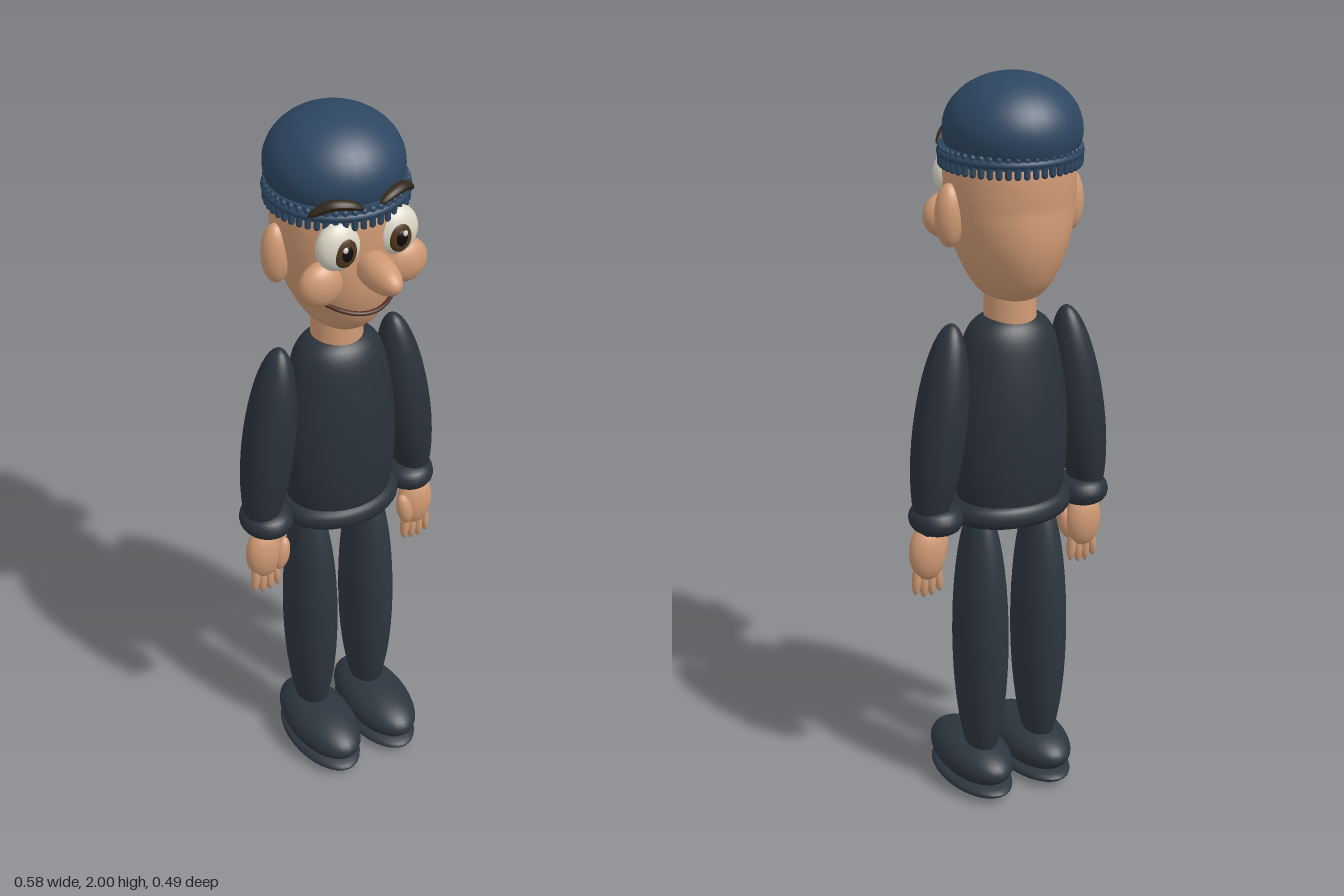
import * as THREE from 'three';
import { mergeVertices } from 'three/addons/utils/BufferGeometryUtils.js';

const mat = (name, color) => Object.assign(new THREE.MeshStandardMaterial({ color }), { name });

export function createModel() {
  const M = {
    skin: mat('skin', 0xd09a74),
    navy: mat('hat navy', 0x2d4661),
    shirt: mat('shirt charcoal', 0x2a323a),
    trousers: mat('trousers charcoal', 0x2d363f),
    brow: mat('brow brown', 0x33281c),
    white: mat('eye white', 0xdcd8c8),
    iris: mat('iris brown', 0x50361f),
    pupil: mat('pupil black', 0x0c0b0a),
    mouth: mat('mouth brown', 0x4a2618),
  };
  const model = new THREE.Group();
  model.name = 'standingMan';

  const add = (name, geo, material, pos = [0, 0, 0], scale = [1, 1, 1], rot = [0, 0, 0], parent = model) => {
    const m = new THREE.Mesh(geo, material);
    m.name = name;
    m.position.set(...pos);
    m.scale.set(...scale);
    m.rotation.set(...rot);
    parent.add(m);
    return m;
  };
  const ball = new THREE.SphereGeometry(1, 32, 24);
  const smallBall = new THREE.SphereGeometry(1, 18, 12);
  const blob = (name, material, pos, radii, rot, geo = ball) => add(name, geo, material, pos, radii, rot);

  // Smooth body of revolution whose depth varies with height
  const turned = (profile, depth) => {
    const curve = new THREE.SplineCurve(profile.map(([r, y]) => new THREE.Vector2(r, y)));
    const pts = curve.getPoints(40).map(p => new THREE.Vector2(Math.max(p.x, 0), p.y));
    let g = new THREE.LatheGeometry(pts, 40);
    const p = g.attributes.position;
    for (let i = 0; i < p.count; i++) p.setZ(i, p.getZ(i) * depth(p.getY(i)));
    g.deleteAttribute('uv');
    g.deleteAttribute('normal');
    g = mergeVertices(g, 1e-5);
    g.computeVertexNormals();
    return g;
  };
  // Horizontal padded ring
  const ring = (radius, tube, sides = 40) =>
    new THREE.TorusGeometry(radius, tube, 16, sides).rotateX(Math.PI / 2);

  const Z = -0.053; // depth of the body axis

  // Head and neck
  const headDepth = y => 1.03 + 0.3 * THREE.MathUtils.clamp((1.68 - y) / 0.18, 0, 1.15);
  add('head', turned([[0, 1.417], [0.06, 1.43], [0.09, 1.46], [0.113, 1.5], [0.135, 1.55], [0.151, 1.6],
    [0.163, 1.66], [0.168, 1.72], [0.16, 1.8], [0.1, 1.89], [0, 1.92]], headDepth), M.skin, [0, 0, -0.05]);
  add('neck', new THREE.CylinderGeometry(0.066, 0.07, 0.15, 32), M.skin, [0, 1.415, Z]);
  blob('nose', M.skin, [0, 1.655, 0.145], [0.043, 0.046, 0.1]);

  // Smiling mouth following the face
  const smile = [];
  for (let i = -4; i <= 4; i++) {
    const x = i * 0.025, y = 1.526 + 2.2 * x * x;
    smile.push(new THREE.Vector3(x, y, -0.045 + 0.168 * Math.sqrt(1 - (x / 0.131) ** 2)));
  }
  add('mouth', new THREE.TubeGeometry(new THREE.CatmullRomCurve3(smile), 32, 0.006, 8), M.mouth);

  // Knitted hat: dome, band and ribs
  blob('hatDome', M.navy, [0, 1.86, -0.064], [0.176, 0.14, 0.18]);
  add('hatBand', new THREE.CylinderGeometry(0.176, 0.176, 0.036, 48), M.navy, [0, 1.806, Z]);
  add('hatBandRoll', ring(0.176, 0.01, 48), M.navy, [0, 1.803, Z]);
  const rib = new THREE.CapsuleGeometry(0.0085, 0.042, 4, 8);
  const ribs = new THREE.Group();
  ribs.name = 'hatRibs';
  model.add(ribs);
  for (let i = 0; i < 48; i++) {
    const a = (i / 48) * Math.PI * 2;
    add('hatRib', rib, M.navy, [0.175 * Math.sin(a), 1.795, Z + 0.175 * Math.cos(a)], [1, 1, 1], [0, a, 0], ribs);
  }

  // Torso and padded hem
  add('torso', turned([[0, 0.79], [0.06, 0.8], [0.12, 0.83], [0.144, 0.88], [0.157, 0.96], [0.16, 1.06],
    [0.154, 1.16], [0.138, 1.26], [0.116, 1.335], [0.075, 1.373], [0, 1.385]], () => 0.81), M.shirt, [0, 0, -0.05]);
  add('hem', ring(0.142, 0.032), M.shirt, [0, 0.848, -0.05], [1, 1, 0.75]);

  // Paired parts
  for (const s of [1, -1]) {
    const side = s > 0 ? 'left' : 'right';
    // Face
    blob(side + 'Ear', M.skin, [s * 0.172, 1.655, Z], [0.038, 0.082, 0.037]);
    blob(side + 'Cheek', M.skin, [s * 0.118, 1.62, 0.08], [0.061, 0.06, 0.04]);
    blob(side + 'Eye', M.white, [s * 0.08, 1.725, 0.097], [0.06, 0.066, 0.038]);
    blob(side + 'Iris', M.iris, [s * 0.077, 1.719, 0.125], [0.032, 0.041, 0.013]);
    blob(side + 'Pupil', M.pupil, [s * 0.076, 1.719, 0.133], [0.017, 0.023, 0.008]);
    blob(side + 'Glint', M.white, [s * 0.083, 1.733, 0.139], [0.007, 0.008, 0.004], [0, 0, 0], smallBall);

    // Arched brow, thick in the middle and tapered at both ends
    const arch = new THREE.CatmullRomCurve3([[0.022, 1.822, 0.122], [0.06, 1.837, 0.113], [0.1, 1.838, 0.097],
      [0.145, 1.808, 0.066]].map(([x, y, z]) => new THREE.Vector3(s * x, y, z)));
    const browGeo = new THREE.TubeGeometry(arch, 24, 0.016, 10);
    const bp = browGeo.attributes.position;
    const c = new THREE.Vector3(), v = new THREE.Vector3();
    for (let i = 0; i < bp.count; i++) {
      const t = Math.floor(i / 11) / 24;
      arch.getPointAt(t, c);
      v.fromBufferAttribute(bp, i).sub(c).multiplyScalar(0.15 + 0.85 * Math.sqrt(Math.sin(Math.PI * Math.min(t, 1))));
      v.y *= 0.85;
      bp.setXYZ(i, c.x + v.x, c.y + v.y, c.z + v.z);
    }
    browGeo.computeVertexNormals();
    add(side + 'Brow', browGeo, M.brow);

    // Arm and cuff
    blob(side + 'Arm', M.shirt, [s * 0.207, 1.085, Z], [0.067, 0.29, 0.08], [0, 0, s * 0.14]);
    add(side + 'Cuff', ring(0.042, 0.035, 32), M.shirt, [s * 0.22, 0.847, Z], [0.93, 1, 1.05]);

    // Hand with four fingers and a thumb
    blob(side + 'Palm', M.skin, [s * 0.238, 0.745, -0.037], [0.052, 0.08, 0.038]);
    for (let f = 0; f < 4; f++) {
      const drop = [0.008, 0, 0, 0.01][f];
      blob(side + 'Finger', M.skin, [s * (0.206 + f * 0.021), 0.66 + drop, -0.032],
        [0.0125, 0.047, 0.015], [0, 0, s * (f - 1.5) * 0.06], smallBall);
    }
    blob(side + 'Thumb', M.skin, [s * 0.194, 0.737, -0.018], [0.022, 0.052, 0.022], [0, 0, s * 0.2], smallBall);

    // Leg, shoe and sole
    blob(side + 'Leg', M.trousers, [s * 0.09, 0.47, Z], [0.07, 0.4, 0.098]);
    blob(side + 'Shoe', M.trousers, [s * 0.092, 0.088, 0], [0.092, 0.066, 0.178]);
    blob(side + 'Sole', M.trousers, [s * 0.092, 0.028, 0], [0.091, 0.028, 0.174]);
  }
  return model;
}
